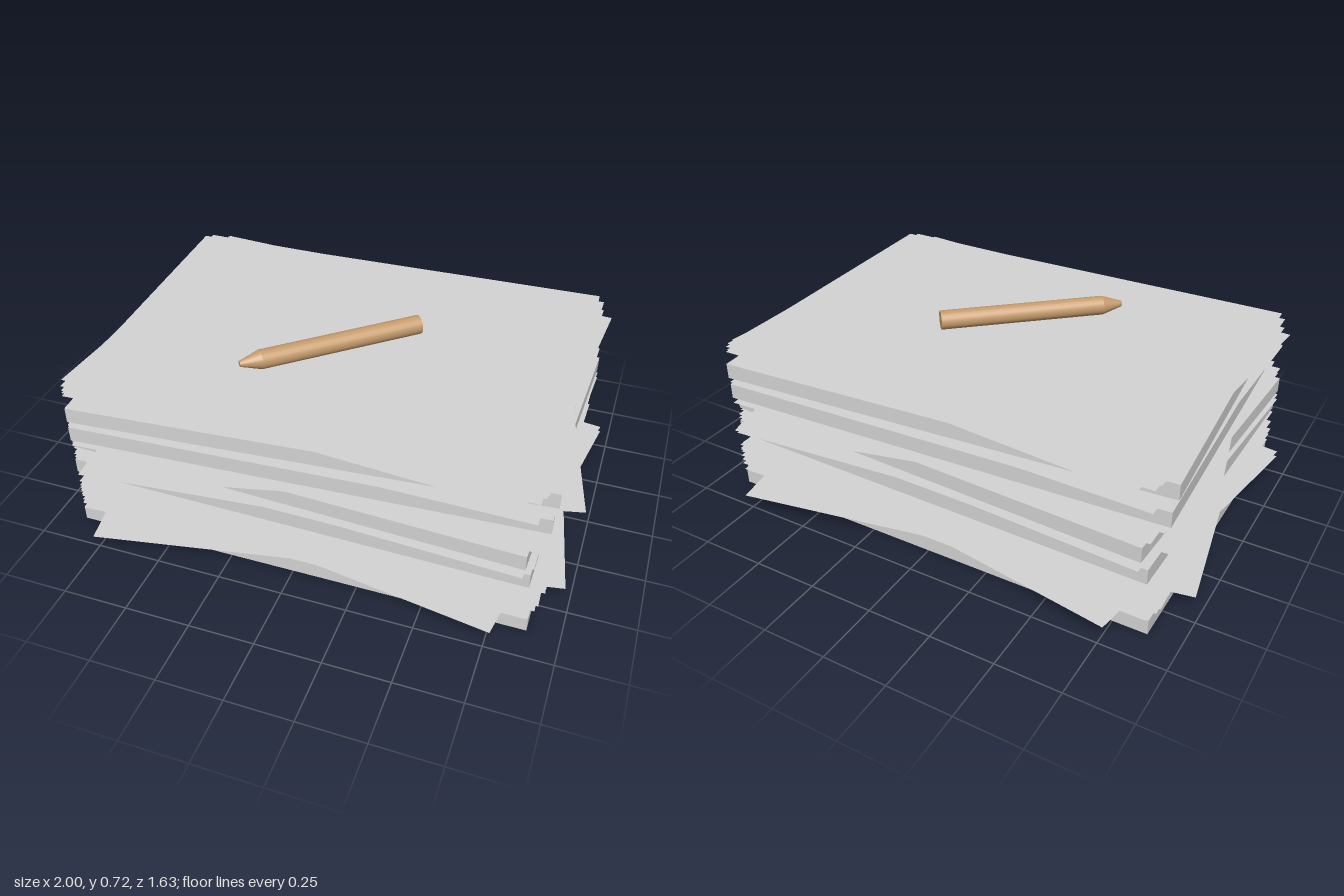
import * as THREE from 'three';
import { toCreasedNormals } from 'three/addons/utils/BufferGeometryUtils.js';

const WIDTH = 1.76, DEPTH = 1.26, THICK = 0.06, STEP = 0.0067;

// Small seeded generator for the untidy turns, -1 to 1
function makeRandom(seed) {
  return () => {
    seed = (seed * 16807) % 2147483647;
    return (seed / 2147483647) * 2 - 1;
  };
}

export function createModel() {
  const model = new THREE.Group();
  model.name = 'paperStack';
  const paper = new THREE.MeshStandardMaterial({ color: 0xd3d3d3, side: THREE.DoubleSide });
  paper.name = 'paper grey';
  const wood = new THREE.MeshStandardMaterial({ color: 0xc69c6d });
  wood.name = 'pencil tan';

  const add = (name, geometry, material, y, turn) => {
    const mesh = new THREE.Mesh(geometry, material);
    mesh.name = name;
    mesh.position.y = y;
    mesh.rotation.y = turn;
    model.add(mesh);
    return mesh;
  };

  // Thick pads of paper: [centre height, turn]
  const padGeometry = new THREE.BoxGeometry(WIDTH, THICK, DEPTH);
  const pads = [[0.03, 0], [0.256, -0.018], [0.356, -0.045], [0.463, 0.05], [0.563, 0.07]];
  pads.forEach(([y, turn], i) => add(`pad${i + 1}`, padGeometry, paper, y, turn));

  // Loose single sheets filling the gap above each pad: sheet count,
  // and the turns of the sheets that stick out, by place in the gap
  const sheetGeometry = new THREE.PlaneGeometry(WIDTH, DEPTH).rotateX(-Math.PI / 2);
  const gaps = [
    { sheets: 24, loose: { 1: 0.183, 3: -0.157, 6: -0.152 } },
    { sheets: 5, loose: {} },
    { sheets: 6, loose: { 2: 0.23 } },
    { sheets: 5, loose: {} },
    { sheets: 7, loose: { 1: -0.085, 4: 0.04, 5: -0.01, 6: 0.025 } },
  ];
  const random = makeRandom(4127);
  gaps.forEach(({ sheets, loose }, g) => {
    for (let i = 0; i < sheets; i++) {
      const turn = loose[i] ?? (random() + random()) * 0.055;
      add(`sheet${g + 1}_${i + 1}`, sheetGeometry, paper, pads[g][0] + THICK / 2 + (i + 1) * STEP, turn);
    }
  });

  // Pencil lying on top, turned from its tip towards its flat end
  const profile = [[0, 0], [0.011, 0], [0.037, 0.08], [0.037, 0.722], [0, 0.722]]
    .map(([r, y]) => new THREE.Vector2(r, y));
  const pencilGeometry = toCreasedNormals(new THREE.LatheGeometry(profile, 32), 0.25);
  const pencil = add('pencil', pencilGeometry, wood, 0.681, 0);
  pencil.position.x = -0.302;
  pencil.position.z = 0.341;
  pencil.quaternion.setFromUnitVectors(
    new THREE.Vector3(0, 1, 0),
    new THREE.Vector3(0.547, 0, -0.482).normalize(),
  );
  return model;
}
